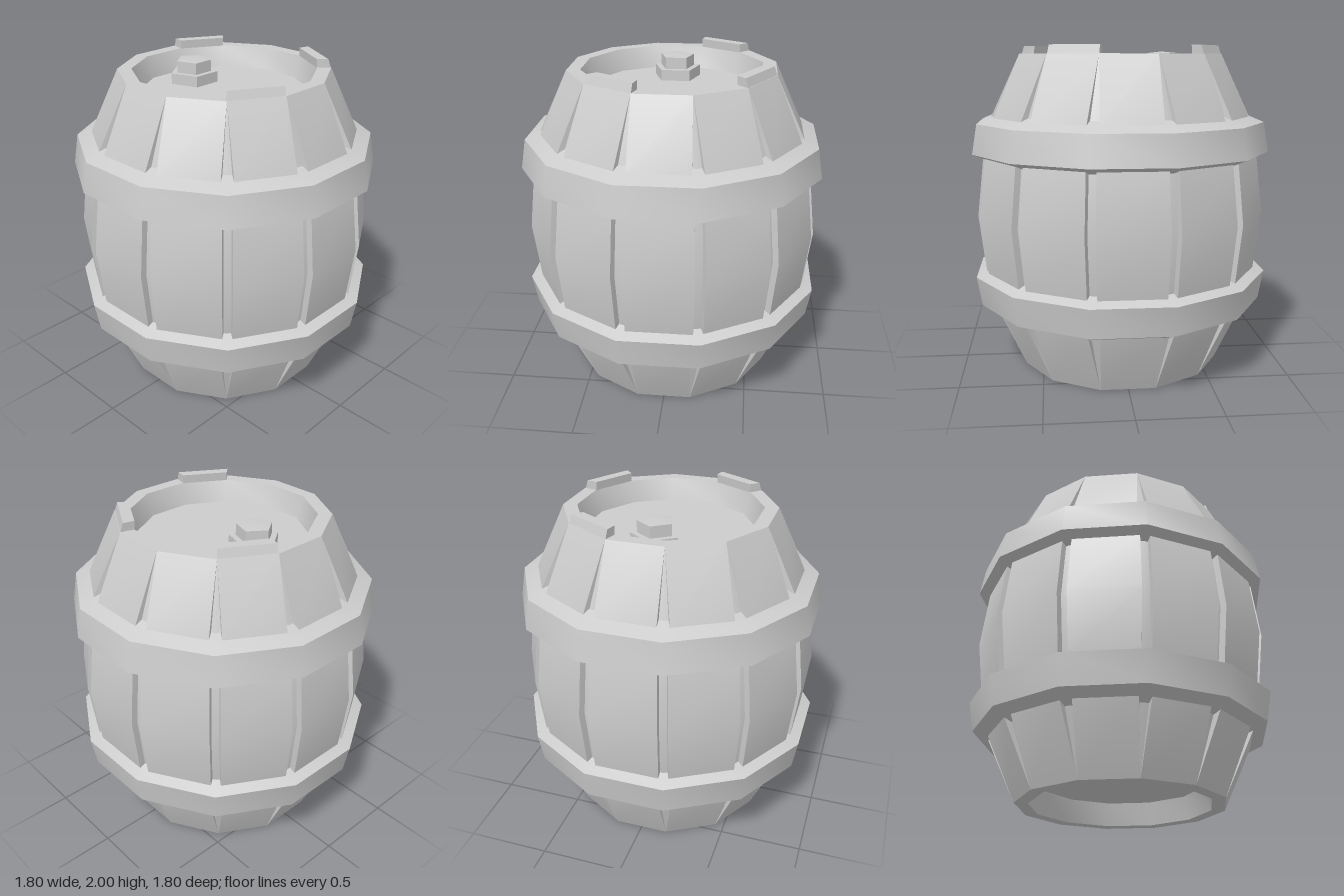
import * as THREE from 'three';
import { toCreasedNormals } from 'three/addons/utils/BufferGeometryUtils.js';

const SIDES = 12;
const CORNER = Math.cos(Math.PI / SIDES);
const CREASE = 0.6;

// Twelve-sided ring; profile holds [distance to flat side, height]
function ring(profile) {
  const pts = profile.map(([r, y]) => new THREE.Vector2(r / CORNER, y));
  const geo = new THREE.LatheGeometry(pts, SIDES, Math.PI / SIDES);
  return toCreasedNormals(geo, CREASE);
}

// Plank lofted through levels of [y, outer r, outer half width, inner r, inner half width]
function plank(levels, closed) {
  const pos = [];
  const index = [];
  for (const [y, ro, wo, ri, wi] of levels) {
    pos.push(-wi, y, ri, -wo, y, ro, wo, y, ro, wi, y, ri);
  }
  const last = (levels.length - 1) * 4;
  for (let k = 0; k < last; k += 4) {
    for (let j = 0; j < (closed ? 4 : 3); j++) {
      const a = k + j, b = k + (j + 1) % 4;
      index.push(a, b, b + 4, a, b + 4, a + 4);
    }
  }
  if (closed) {
    index.push(0, 2, 1, 0, 3, 2);
    index.push(last, last + 1, last + 2, last, last + 2, last + 3);
  }
  const geo = new THREE.BufferGeometry();
  geo.setAttribute('position', new THREE.Float32BufferAttribute(pos, 3));
  geo.setIndex(index);
  return toCreasedNormals(geo, CREASE);
}

export function createModel() {
  const model = new THREE.Group();
  const grey = new THREE.MeshStandardMaterial({ color: 0xcccccc });
  grey.name = 'plain grey';

  const add = (name, geo) => {
    const mesh = new THREE.Mesh(geo, grey);
    mesh.name = name;
    model.add(mesh);
    return mesh;
  };

  // Inner body: groove floors, both rims and the recessed lid and base
  add('body', ring([
    [0, 0.14], [0.49, 0.14], [0.53, 0], [0.61, 0],
    [0.75, 0.39], [0.80, 0.63], [0.84, 0.98], [0.80, 1.33], [0.75, 1.57],
    [0.61, 1.95], [0.53, 1.95], [0.49, 1.82], [0, 1.82],
  ]));

  // Staves, touching at the ends and parted by grooves in the middle
  const staveGeo = plank([
    [0, 0.61, 0.163], [0.39, 0.79, 0.175], [0.63, 0.84, 0.195],
    [0.98, 0.88, 0.205],
    [1.33, 0.84, 0.195], [1.57, 0.79, 0.175], [1.95, 0.61, 0.163],
  ].map(([y, r, w]) => [y, r, w, r - 0.08, w * 0.97]), false);

  // Raised ends of the longer staves
  const tipGeo = plank([
    [1.94, 0.61, 0.163, 0.53, 0.142],
    [2.0, 0.59, 0.16, 0.525, 0.14],
  ], true);
  const raised = [2, 5, 8 + 1].map((k) => k); // steps of 30 degrees from the front
  raised[2] = 8;

  for (let k = 0; k < SIDES; k++) {
    const angle = (k * Math.PI * 2) / SIDES;
    add('stave', staveGeo).rotation.y = angle;
    if (raised.includes(k)) add('staveTip', tipGeo).rotation.y = angle;
  }

  // Hoops, the lower one mirroring the upper
  const hoop = [[0.76, 1.30], [0.90, 1.36], [0.87, 1.54], [0.73, 1.60]];
  add('upperHoop', ring(hoop));
  add('lowerHoop', ring(hoop.map(([r, y]) => [r, 1.96 - y]).reverse()));

  // Five-sided bung with a slightly peaked top
  const bung = (name, profile) => {
    const pts = profile.map(([r, y]) => new THREE.Vector2(r, y));
    const geo = toCreasedNormals(new THREE.LatheGeometry(pts, 5, -Math.PI / 2), CREASE);
    add(name, geo).position.set(-0.265, 1.82, 0);
  };
  bung('bungCollar', [[0.148, 0], [0.148, 0.065], [0, 0.065]]);
  bung('bungKnob', [[0.108, 0.06], [0.108, 0.135], [0, 0.145]]);

  return model;
}
